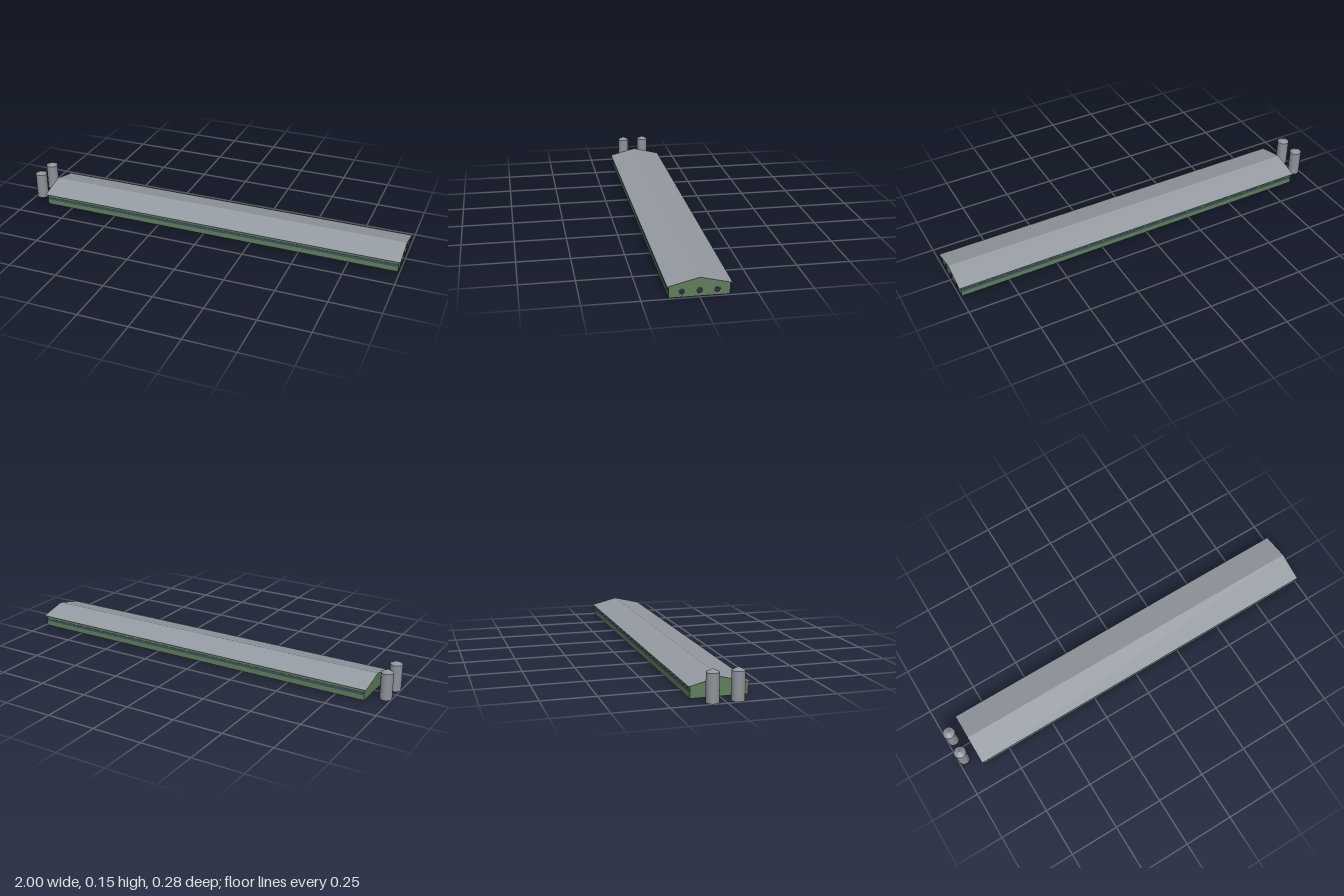
import * as THREE from 'three';

const mat = (name, color, side = THREE.DoubleSide) => {
  const m = new THREE.MeshStandardMaterial({ color, side });
  m.name = name;
  return m;
};

export function createModel() {
  const group = new THREE.Group();
  const green = mat('wallGreen', 0x5f7f5c);
  const roofGrey = mat('roofGrey', 0x969ca3);
  const siloGrey = mat('siloGrey', 0x8f949b);
  const slate = mat('windowSlate', 0x3d5360);
  const dark = mat('fanDark', 0x2c2d38);

  const add = (name, geometry, material, x = 0, y = 0, z = 0) => {
    const mesh = new THREE.Mesh(geometry, material);
    mesh.name = name;
    mesh.position.set(x, y, z);
    group.add(mesh);
    return mesh;
  };

  const x0 = -0.893, x1 = 0.99, len = x1 - x0, mid = (x0 + x1) / 2;
  const halfW = 0.132, eave = 0.054, ridge = 0.087;

  // Gabled end walls
  const gable = new THREE.Shape([
    new THREE.Vector2(-halfW, 0), new THREE.Vector2(halfW, 0),
    new THREE.Vector2(halfW, eave), new THREE.Vector2(0, ridge),
    new THREE.Vector2(-halfW, eave),
  ]);
  for (const [name, x, turn] of [['leftEndWall', x1, 1], ['rightEndWall', x0, -1]]) {
    add(name, new THREE.ShapeGeometry(gable), green, x).rotation.y = turn * Math.PI / 2;
  }

  const slope = Math.atan2(ridge - eave, halfW);
  for (const s of [1, -1]) {
    const side = s > 0 ? 'front' : 'back';

    // Long wall with its window strip
    const wall = add(side + 'Wall', new THREE.PlaneGeometry(len, eave), green, mid, eave / 2, s * halfW);
    if (s < 0) wall.rotation.y = Math.PI;
    add(side + 'WindowStrip', new THREE.BoxGeometry(len - 0.01, 0.015, 0.002), slate, mid, 0.033, s * halfW);

    // Sloping ceiling
    const ceiling = add(side + 'Ceiling', new THREE.PlaneGeometry(len, Math.hypot(halfW, ridge - eave)),
      green, mid, (eave + ridge) / 2, s * halfW / 2);
    ceiling.rotation.x = s > 0 ? slope - Math.PI / 2 : -slope - Math.PI / 2;

    // Roof sheet overhanging every wall
    const sheet = new THREE.Shape([
      new THREE.Vector2(0, ridge + 0.001), new THREE.Vector2(s * 0.14, 0.053),
      new THREE.Vector2(s * 0.14, 0.0555), new THREE.Vector2(0, 0.09),
    ]);
    const roof = add(side + 'Roof', new THREE.ExtrudeGeometry(sheet, { depth: 1.903, bevelEnabled: false }),
      roofGrey, 1.0);
    roof.rotation.y = -Math.PI / 2;
    roof.position.x = 1.0 - 0;
    // Extrusion runs towards -x, with the profile's x along +z
    roof.position.z = 0;

    // Feed silo
    add(side + 'Silo', new THREE.CylinderGeometry(0.0295, 0.0295, 0.132, 24, 1, true), siloGrey, -0.97, 0.066, s * 0.057);
    add(side + 'SiloCap', new THREE.ConeGeometry(0.03, 0.015, 24, 1, true), siloGrey, -0.97, 0.1395, s * 0.057);
  }

  // Fans with thin rims on the left end wall
  for (const z of [-0.076, 0, 0.076]) {
    const fan = add('fan', new THREE.CylinderGeometry(0.0135, 0.0135, 0.003, 20), dark, x1 + 0.001, 0.026, z);
    fan.rotation.z = -Math.PI / 2;
    const rim = add('fanRim', new THREE.TorusGeometry(0.0138, 0.0007, 6, 24), roofGrey, x1 + 0.002, 0.026, z);
    rim.rotation.y = Math.PI / 2;
  }

  return group;
}
